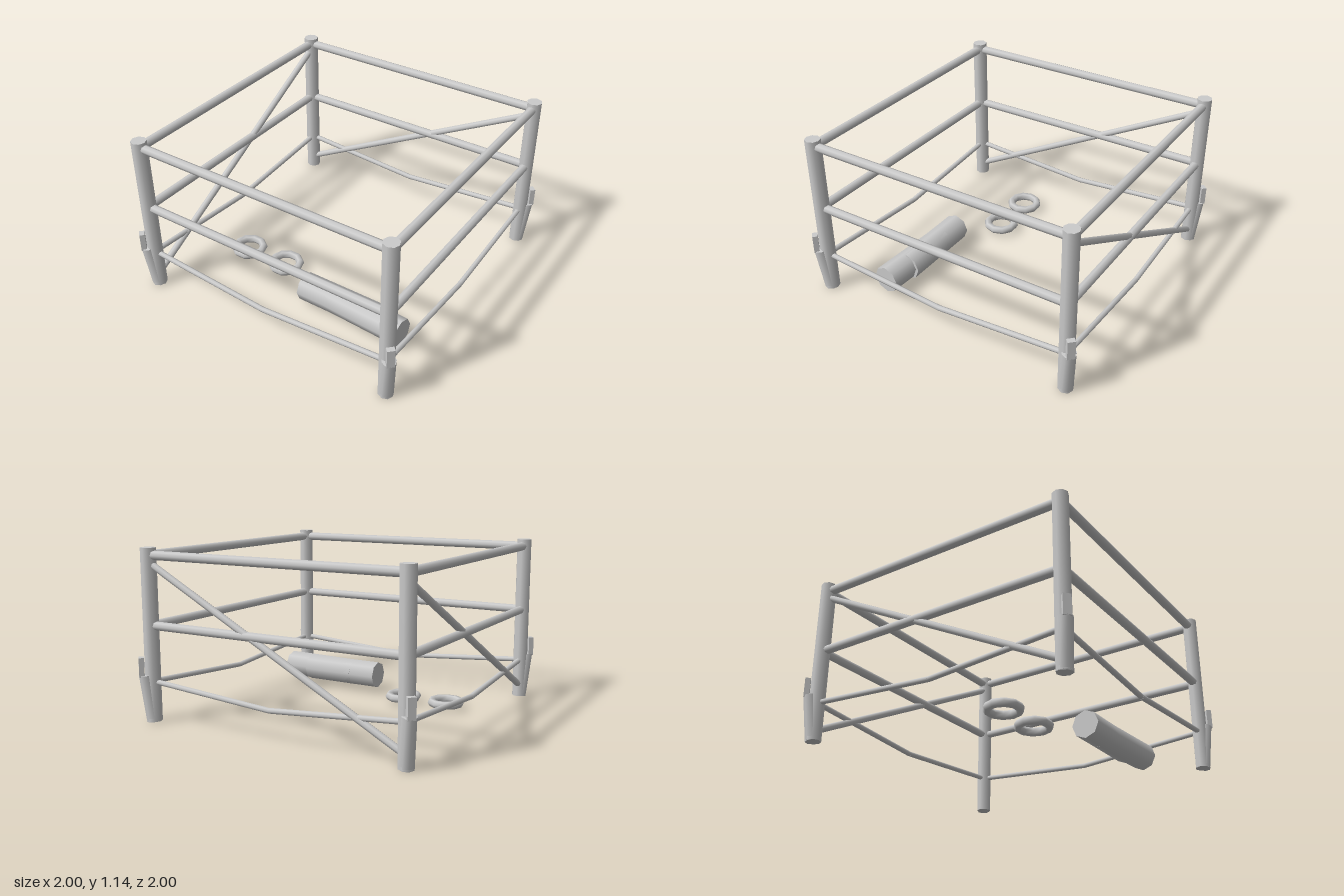
import * as THREE from 'three';

const material = new THREE.MeshStandardMaterial({ color: 0xcccccc });
const UP = new THREE.Vector3(0, 1, 0);
const C = 0.92; // post distance from the centre lines

function add(parent, name, geometry) {
  const mesh = new THREE.Mesh(geometry, material);
  mesh.name = name;
  parent.add(mesh);
  return mesh;
}

// Round bar from point a to point b
function bar(parent, name, a, b, rA, rB = rA) {
  const p = new THREE.Vector3(...a), q = new THREE.Vector3(...b);
  const dir = q.clone().sub(p);
  const mesh = add(parent, name, new THREE.CylinderGeometry(rB, rA, dir.length(), 8));
  mesh.position.copy(p).add(q).multiplyScalar(0.5);
  mesh.quaternion.setFromUnitVectors(UP, dir.normalize());
  return mesh;
}

export function createModel() {
  const model = new THREE.Group();
  model.name = 'penFrame';

  // Corner posts, each with an outward leaning stake and a peg above it
  for (const sx of [-1, 1]) for (const sz of [-1, 1]) {
    const corner = new THREE.Group();
    corner.name = 'cornerPost';
    bar(corner, 'post', [sx * C, 0.007, sz * C], [sx * C, 1.142, sz * C], 0.051);
    bar(corner, 'leaningStake', [sx * C, 0.007, sz * C],
      [sx * 0.951, 0.315, sz * 0.951], 0.05, 0.046);
    const peg = add(corner, 'peg', new THREE.BoxGeometry(0.05, 0.13, 0.035));
    peg.position.set(sx * 0.97, 0.367, sz * 0.97);
    peg.rotation.y = Math.atan2(sx, sz);
    model.add(corner);
  }

  // Four sides: two rails and a low line sagging to the middle
  const E = 0.9;
  for (let i = 0; i < 4; i++) {
    const side = new THREE.Group();
    side.name = 'side';
    bar(side, 'topRail', [-E, 1.093, C], [E, 1.093, C], 0.03);
    bar(side, 'middleRail', [-E, 0.64, C], [E, 0.64, C], 0.029);
    for (const s of [-1, 1])
      bar(side, 'saggingLine', [s * E, 0.27, C], [0, 0.203, C], 0.018);
    side.rotation.y = i * Math.PI / 2;
    model.add(side);
  }

  // Diagonal braces on the back and on the -x side
  bar(model, 'backBrace', [-E, 0.09, -C], [E, 1.037, -C], 0.023);
  bar(model, 'sideBrace', [-C, 0.09, E], [-C, 1.037, -E], 0.023);

  // Two rings lying flat
  for (const x of [-0.607, -0.279]) {
    const ring = add(model, 'ring', new THREE.TorusGeometry(0.1, 0.028, 6, 10));
    ring.rotation.x = Math.PI / 2;
    ring.position.set(x, 0.05, 0.317);
  }

  // Two overlapping rolls, the second slightly turned
  bar(model, 'roll', [0.028, 0.125, 0.508], [0.607, 0.125, 0.508], 0.095);
  bar(model, 'turnedRoll', [0.22, 0.125, 0.506], [0.798, 0.125, 0.537], 0.094);

  return model;
}
